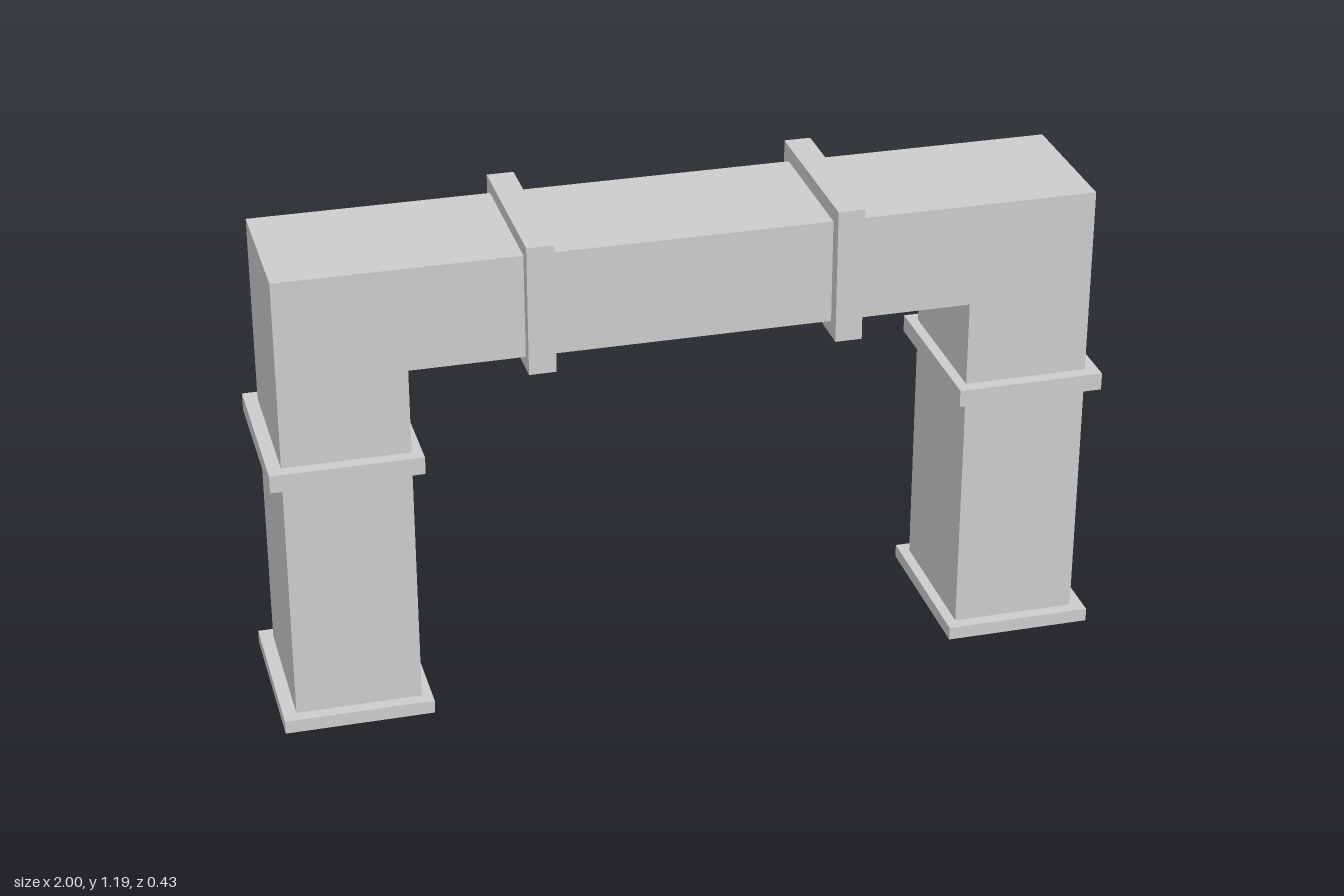
import * as THREE from 'three';

const material = new THREE.MeshStandardMaterial({ color: 0xcccccc, flatShading: true });

// Box given by its lower and upper corners
function block(name, [x0, y0, z0], [x1, y1, z1]) {
  const geometry = new THREE.BoxGeometry(x1 - x0, y1 - y0, z1 - z0);
  geometry.translate((x0 + x1) / 2, (y0 + y1) / 2, (z0 + z1) / 2);
  const mesh = new THREE.Mesh(geometry, material);
  mesh.name = name;
  return mesh;
}

export function createModel() {
  const model = new THREE.Group();
  model.name = 'squareArch';

  // Square-section duct: two legs and a lintel in one outline
  const outer = 0.968, inner = 0.668, under = 0.897, top = 1.15, half = 0.179;
  const outline = new THREE.Shape([
    [-outer, 0], [-inner, 0], [-inner, under], [inner, under],
    [inner, 0], [outer, 0], [outer, top], [-outer, top],
  ].map(([x, y]) => new THREE.Vector2(x, y)));
  const geometry = new THREE.ExtrudeGeometry(outline, { depth: 2 * half, bevelEnabled: false });
  geometry.translate(0, 0, -half);
  const frame = new THREE.Mesh(geometry, material);
  frame.name = 'archFrame';
  model.add(frame);

  // Base plates and collars around each leg
  for (const [side, x0, x1] of [['right', -1, -0.643], ['left', 0.643, 1]]) {
    model.add(block(side + 'BasePlate', [x0, 0, -0.212], [x1, 0.033, 0.21]));
    model.add(block(side + 'LegCollar', [x0, 0.645, -0.212], [x1, 0.688, 0.21]));
  }

  // Collars around the lintel
  model.add(block('rightLintelCollar', [-0.397, 0.866, -0.213], [-0.333, 1.182, 0.21]));
  model.add(block('leftLintelCollar', [0.328, 0.86, -0.217], [0.392, 1.188, 0.215]));

  return model;
}
